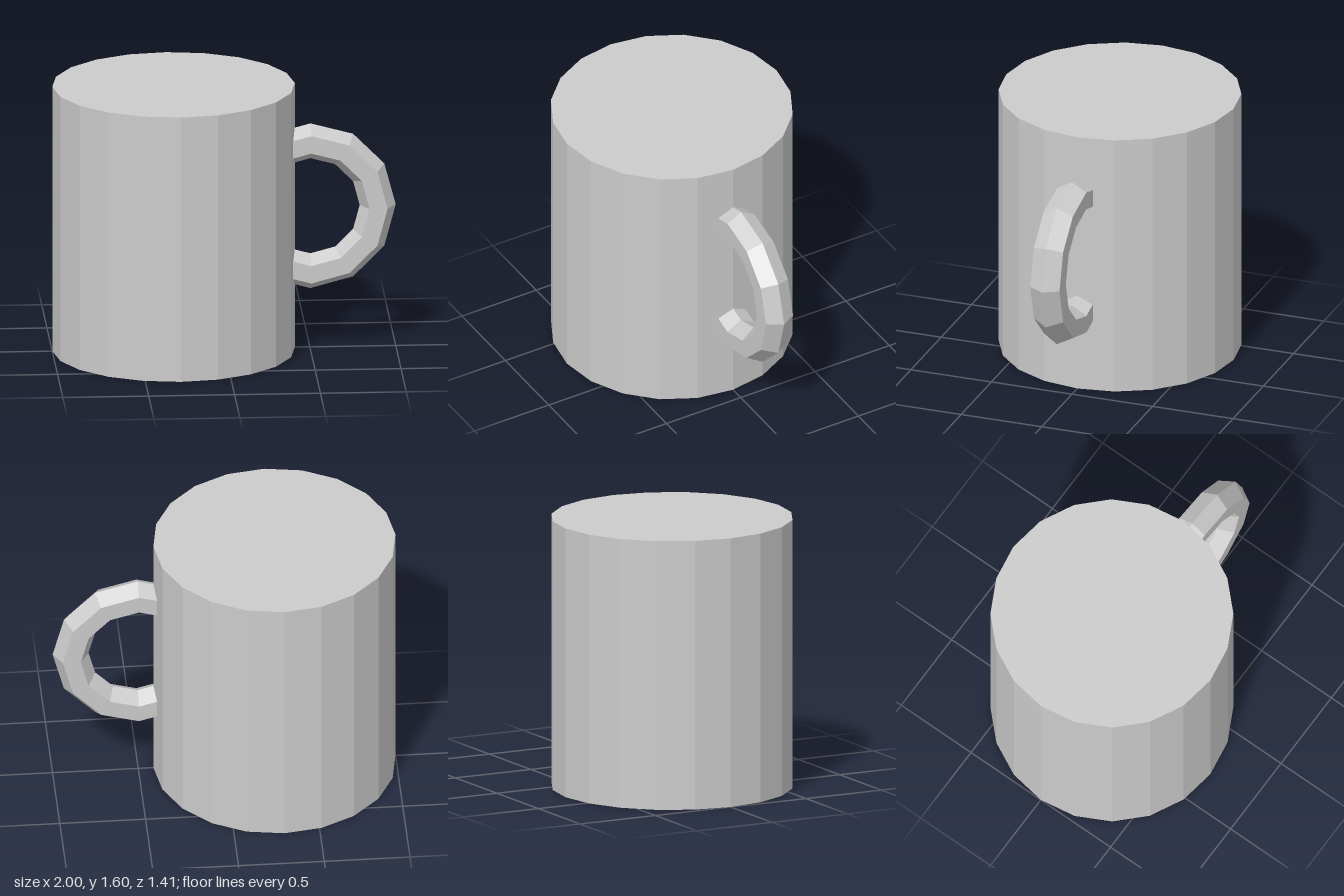
import * as THREE from 'three';

export function createModel() {
  const group = new THREE.Group();
  const material = new THREE.MeshStandardMaterial({ color: 0xcccccc, flatShading: true });

  // Solid twenty-sided mug body
  const height = 1.595, radius = 0.706;
  const body = new THREE.Mesh(new THREE.CylinderGeometry(radius, radius, height, 20), material);
  body.name = 'mugBody';
  body.position.set(radius - 1, height / 2, 0);
  group.add(body);

  // Hexagonal ring handle: 30 degree segments, both ends sunk into the body
  const ring = 0.392, tube = 0.105;
  const handle = new THREE.Mesh(new THREE.TorusGeometry(ring, tube, 6, 8, Math.PI * 4 / 3), material);
  handle.name = 'handle';
  handle.rotation.z = -Math.PI * 2 / 3;
  handle.position.set(1 - ring - tube, 0.852, 0);
  group.add(handle);

  return group;
}
